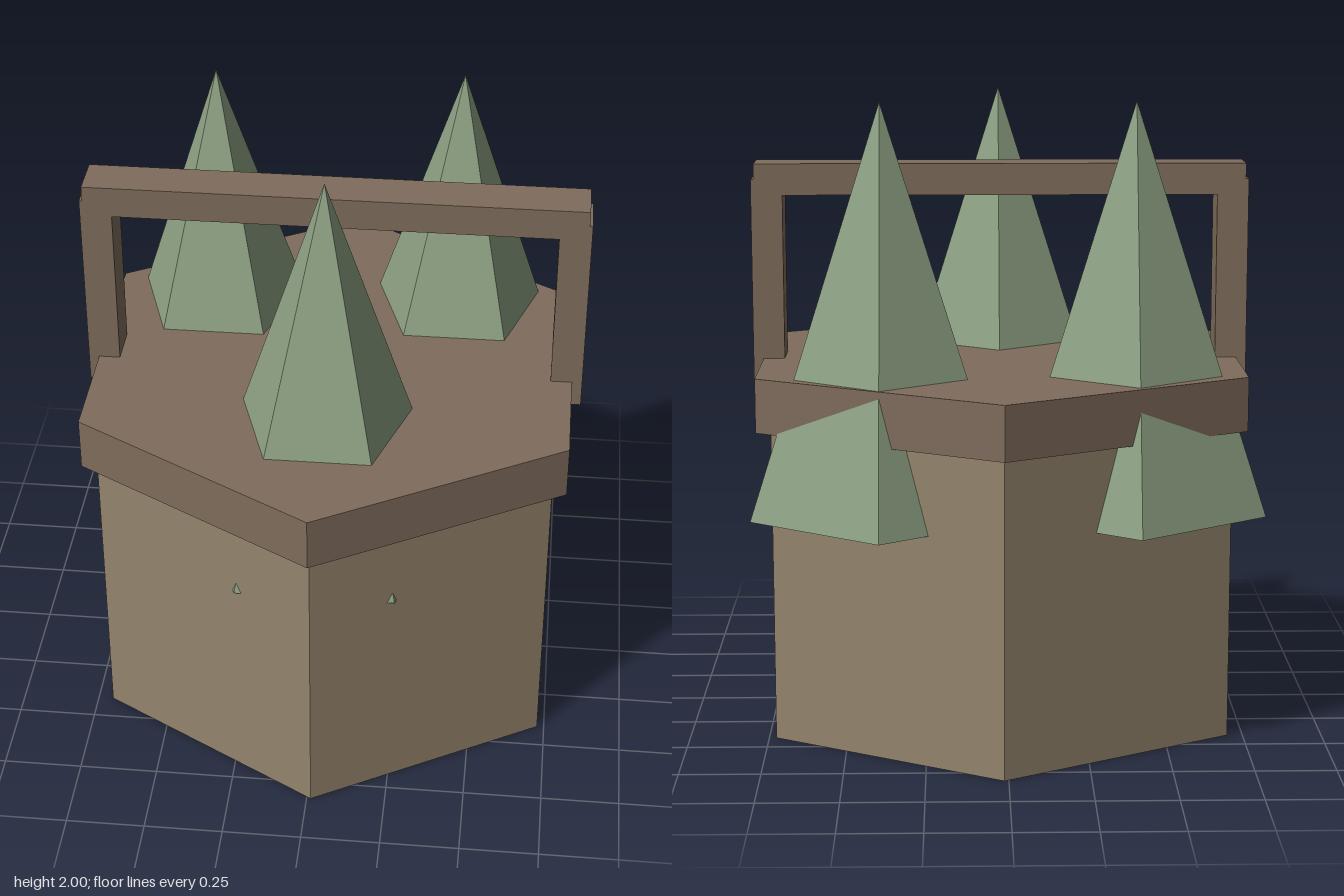
import * as THREE from 'three';

const CX = 0.013; // shared axis of the pot and its handle

function material(color) {
  return new THREE.MeshStandardMaterial({ color, flatShading: true });
}

function add(parent, name, geometry, mat, x, y, z) {
  const mesh = new THREE.Mesh(geometry, mat);
  mesh.name = name;
  mesh.position.set(x, y, z);
  parent.add(mesh);
  return mesh;
}

export function createModel() {
  const group = new THREE.Group();
  group.name = 'treePlanter';
  const clay = material(0x94846c);
  const wood = material(0x7f6c5c);
  const leaf = material(0x8ca082);

  // Hexagonal tub with a wider rim slab, corners to front and back
  add(group, 'tub', new THREE.CylinderGeometry(0.825, 0.825, 0.99, 6), clay, CX, 0.495, 0);
  add(group, 'rim', new THREE.CylinderGeometry(0.877, 0.877, 0.17, 6), wood, CX, 1.075, 0);

  // Handle: two posts and a crossbar
  const handle = new THREE.Group();
  handle.name = 'handle';
  group.add(handle);
  for (const side of [-1, 1]) {
    add(handle, side > 0 ? 'leftPost' : 'rightPost',
      new THREE.BoxGeometry(0.1, 0.66, 0.14), wood, CX + side * 0.742, 1.405, 0);
  }
  add(handle, 'crossbar', new THREE.BoxGeometry(1.565, 0.1, 0.144), wood, CX, 1.735, 0);

  // Five-sided trees, sunk through the rim, one corner pointing back
  const base = 0.725, height = 2 - base;
  const cone = new THREE.ConeGeometry(0.425, height, 5).rotateY(Math.PI);
  const trees = [
    ['frontTree', CX, 0.35],
    ['backLeftTree', 0.385, -0.375],
    ['backRightTree', -0.4, -0.335],
  ];
  for (const [name, x, z] of trees) add(group, name, cone, leaf, x, base + height / 2, z);

  return group;
}
